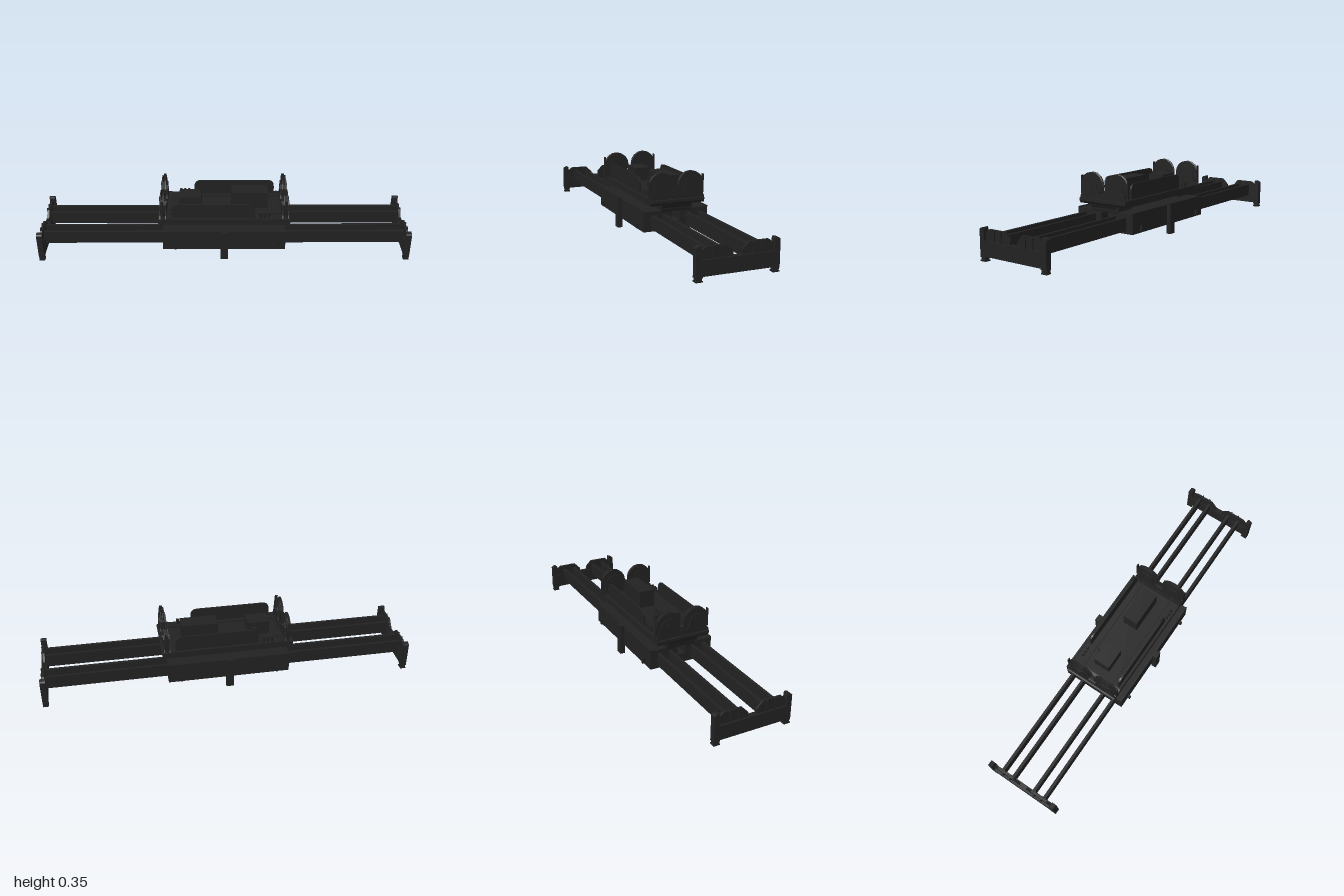
import * as THREE from 'three';

const mat = new THREE.MeshStandardMaterial({ color: 0x222222, flatShading: true });

function add(parent, name, geo, x = 0, y = 0, z = 0) {
  const mesh = new THREE.Mesh(geo, mat);
  mesh.name = name;
  mesh.position.set(x, y, z);
  parent.add(mesh);
  return mesh;
}

// Box given by its limits on each axis
function box(parent, name, x0, x1, y0, y1, z0, z1) {
  return add(parent, name, new THREE.BoxGeometry(x1 - x0, y1 - y0, z1 - z0),
    (x0 + x1) / 2, (y0 + y1) / 2, (z0 + z1) / 2);
}

// Profile of [z, y] points, extruded along x and centred on x
function crossPlate(parent, name, points, thick, x) {
  const shape = new THREE.Shape(points.map(([z, y]) => new THREE.Vector2(z, y)));
  const geo = new THREE.ExtrudeGeometry(shape, { depth: thick, bevelEnabled: false });
  geo.translate(0, 0, -thick / 2).rotateY(-Math.PI / 2);
  return add(parent, name, geo, x);
}

// Profile of [x, y] points, extruded along z and centred on z
function longPlate(parent, name, shape, thick, z) {
  const geo = new THREE.ExtrudeGeometry(shape, { depth: thick, bevelEnabled: false, curveSegments: 5 });
  geo.translate(0, 0, -thick / 2);
  return add(parent, name, geo, 0, 0, z);
}

// Cross beam with raised lobes, gussets and corner locks; outer face towards +x
function endBeam() {
  const g = new THREE.Group();
  g.name = 'endBeam';
  box(g, 'crossBeam', 0.97, 1, 0.025, 0.1, -0.21, 0.21);
  for (const s of [1, -1]) {
    const side = (pts) => pts.map(([z, y]) => [z * s, y]);
    crossPlate(g, 'lobePlate', side([[0.19, 0.09], [0.19, 0.13], [0.157, 0.157], [0.057, 0.157],
      [0.023, 0.122], [0.023, 0.09]]), 0.012, 0.983);
    crossPlate(g, 'cornerPost', side([[0.18, 0.09], [0.21, 0.09], [0.21, 0.155], [0.203, 0.161],
      [0.186, 0.166], [0.182, 0.157]]), 0.03, 0.985);
    for (const z of [0.077, 0.122]) {
      box(g, 'gusset', 0.972, 0.996, 0.095, 0.155, s * z - 0.003, s * z + 0.003);
    }
    const zc = s * 0.193;
    box(g, 'cornerBlock', 0.968, 1, 0.1, 0.118, zc - 0.01, zc + 0.01);
    box(g, 'lockBody', 0.972, 0.998, 0.004, 0.027, zc - 0.014, zc + 0.014);
    box(g, 'lockCollar', 0.97, 1, 0.019, 0.025, zc - 0.017, zc + 0.017);
    box(g, 'lockFoot', 0.97, 1, 0, 0.006, zc - 0.017, zc + 0.017);
  }
  return g;
}

// Pair of cable sheaves with their brackets, at the +x end of the head block
function sheavePair() {
  const g = new THREE.Group();
  g.name = 'sheavePair';
  const rim = [[0.012, -0.011], [0.071, -0.011], [0.071, -0.007], [0.06, -0.002], [0.06, 0.002],
    [0.071, 0.007], [0.071, 0.011], [0.012, 0.011]].map(([r, h]) => new THREE.Vector2(r, h));
  for (const s of [1, -1]) {
    add(g, 'sheave', new THREE.LatheGeometry(rim, 16).rotateZ(Math.PI / 2), 0.328, 0.284, s * 0.082);
    add(g, 'sheaveHub', new THREE.CylinderGeometry(0.017, 0.017, 0.042, 12).rotateZ(Math.PI / 2),
      0.328, 0.284, s * 0.082);
    box(g, 'cableGuard', 0.32, 0.336, 0.235, 0.333, s * 0.1525 - 0.0025, s * 0.1525 + 0.0025);
  }
  // Bracket outline: a low base with an arch over each axle
  const half = [[0.152, 0.188], [0.152, 0.225], [0.142, 0.24], [0.133, 0.265], [0.127, 0.295],
    [0.112, 0.315], [0.085, 0.322], [0.058, 0.317], [0.044, 0.297], [0.034, 0.262], [0.024, 0.246]];
  const outline = [...half, ...half.map(([z, y]) => [-z, y]).reverse()];
  for (const x of [0.313, 0.343]) crossPlate(g, 'sheaveBracket', outline, 0.006, x);
  // Tapered end of the deck under the sheaves
  const end = new THREE.Shape([[0.29, 0.188], [0.345, 0.188], [0.355, 0.2], [0.355, 0.215], [0.29, 0.226]]
    .map(([x, y]) => new THREE.Vector2(x, y)));
  longPlate(g, 'deckEnd', end, 0.3, 0);
  // Support joining the deck to the main frame
  const leg = new THREE.Shape([[0.22, 0.15], [0.33, 0.15], [0.335, 0.17], [0.345, 0.19], [0.22, 0.19]]
    .map(([x, y]) => new THREE.Vector2(x, y)));
  longPlate(g, 'deckSupport', leg, 0.164, 0);
  box(g, 'supportFlange', 0.22, 0.335, 0.163, 0.182, -0.093, 0.093);
  return g;
}

export function createModel() {
  const model = new THREE.Group();
  model.name = 'liftingFrame';

  // Main frame: floor with two side boxes leaving a channel
  const frame = new THREE.Group();
  frame.name = 'mainFrame';
  model.add(frame);
  box(frame, 'frameFloor', -0.33, 0.33, 0.052, 0.1, -0.18, 0.18);
  for (const s of [1, -1]) {
    const [a, b] = s > 0 ? [0.022, 0.18] : [-0.18, -0.022];
    box(frame, 'frameSide', -0.33, 0.33, 0.09, 0.157, a, b);
    box(frame, 'topLip', -0.33, 0.33, 0.155, 0.162, s * 0.176 - 0.005, s * 0.176 + 0.005);
    box(frame, 'guidePost', -0.02, 0.02, 0.003, 0.17, s * 0.191 - 0.013, s * 0.191 + 0.013);
    for (const x of [-0.262, 0.262]) {
      box(frame, 'sidePin', x - 0.006, x + 0.006, 0.06, 0.09, s * 0.185 - 0.009, s * 0.185 + 0.009);
    }
    // Telescopic rails running the full length
    for (const z of [0.066, 0.132]) {
      box(model, 'rail', -0.975, 0.975, 0.068, 0.138, s * z - 0.008, s * z + 0.008);
    }
  }

  // Both ends are the same, turned half round
  for (const turn of [0, Math.PI]) {
    for (const part of [endBeam(), sheavePair()]) {
      part.rotation.y = turn;
      model.add(part);
    }
  }

  // Head block deck with its equipment
  const deck = new THREE.Group();
  deck.name = 'headBlock';
  model.add(deck);
  box(deck, 'deckPlate', -0.33, 0.33, 0.188, 0.222, -0.15, 0.15);
  box(deck, 'largeCabinet', 0.04, 0.237, 0.22, 0.317, -0.053, 0.033);
  box(deck, 'smallCabinet', -0.243, -0.125, 0.22, 0.295, -0.05, 0.042);
  box(deck, 'cabinetConnector', -0.175, -0.145, 0.22, 0.27, -0.07, -0.05);

  // Round-cornered side guards, each with three small sockets beside it
  const guard = new THREE.Shape();
  guard.moveTo(-0.28, 0.215);
  guard.lineTo(0.165, 0.215);
  guard.lineTo(0.165, 0.265);
  guard.quadraticCurveTo(0.165, 0.304, 0.126, 0.304);
  guard.lineTo(-0.241, 0.304);
  guard.quadraticCurveTo(-0.28, 0.304, -0.28, 0.265);
  for (const turn of [0, Math.PI]) {
    const side = new THREE.Group();
    side.name = 'deckSide';
    side.rotation.y = turn;
    deck.add(side);
    longPlate(side, 'sideGuard', guard, 0.01, 0.13);
    box(side, 'deckRib', -0.31, 0.31, 0.22, 0.228, 0.09, 0.095);
    for (let i = 0; i < 3; i++) {
      add(side, 'socket', new THREE.CylinderGeometry(0.008, 0.008, 0.03, 8), 0.195 + i * 0.022, 0.235, 0.13);
    }
  }
  return model;
}
